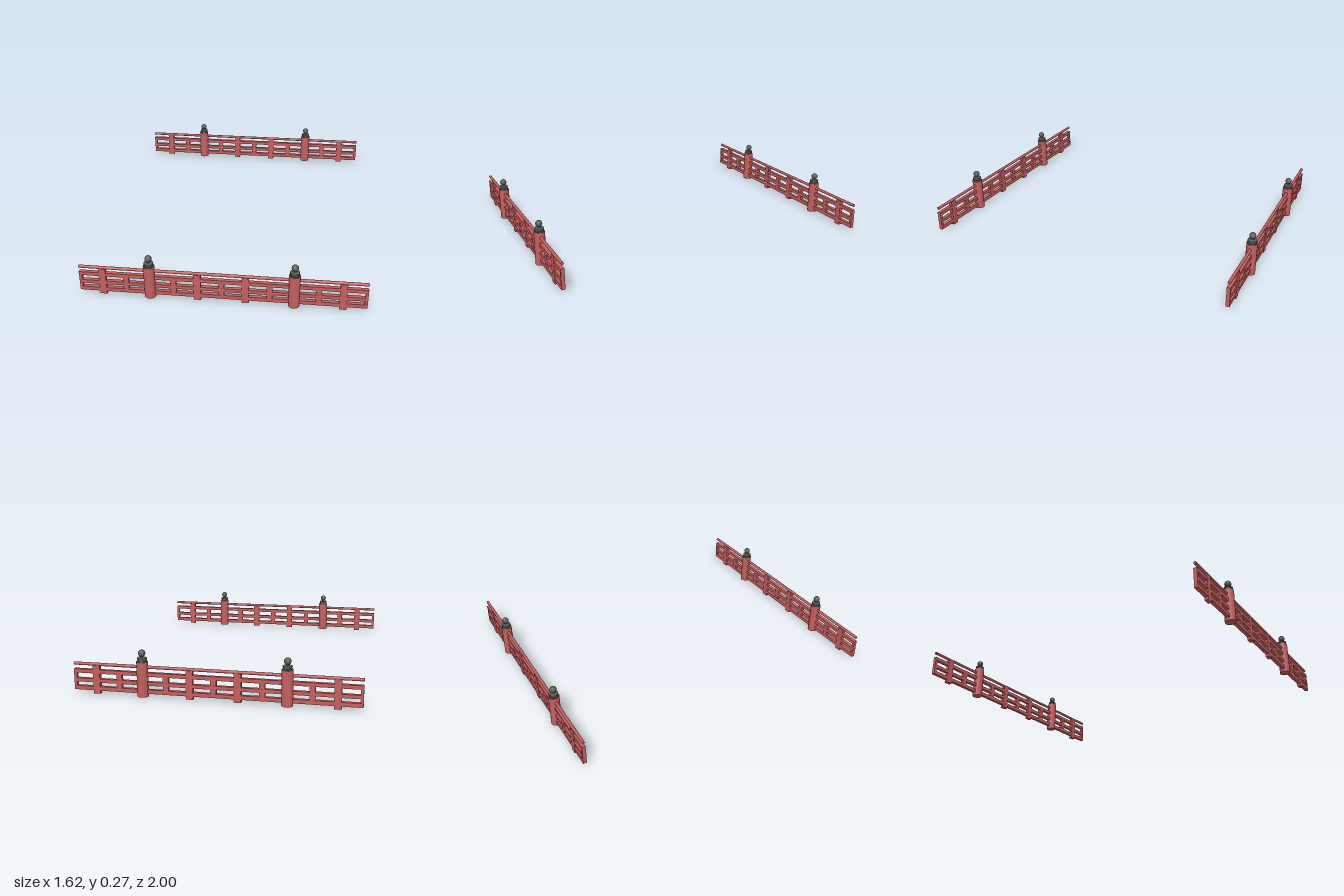
import * as THREE from 'three';

const red = new THREE.MeshStandardMaterial({ color: 0xc4605f });
const grey = new THREE.MeshStandardMaterial({ color: 0x5a5f5d });

const HALF = 0.81; // half length of a railing
const POST_X = 0.406, POST_R = 0.032;

function add(parent, name, geometry, material, x, y, z = 0) {
  const mesh = new THREE.Mesh(geometry, material);
  mesh.name = name;
  mesh.position.set(x, y, z);
  parent.add(mesh);
  return mesh;
}

// Upright box from y0 to y1
function upright(parent, name, x, width, y0, y1, depth) {
  add(parent, name, new THREE.BoxGeometry(width, y1 - y0, depth), red, x, (y0 + y1) / 2);
}

// Round main post with a stepped metal cap and a ball finial
function createPost(x) {
  const post = new THREE.Group();
  post.name = 'mainPost';
  post.position.x = x;
  add(post, 'postShaft', new THREE.CylinderGeometry(POST_R, POST_R, 0.2, 32), red, 0, 0.1);

  const profile = [
    [0, 0.199], [0.028, 0.199], [0.028, 0.206], [0.024, 0.207], [0.024, 0.214],
    [0.027, 0.215], [0.027, 0.221], [0.022, 0.224], [0.011, 0.226], [0.009, 0.233], [0, 0.233],
  ].map(([r, y]) => new THREE.Vector2(r, y));
  // Separate bands keep the steps crisp
  for (let i = 0; i < profile.length - 1; i++) {
    add(post, 'postCap', new THREE.LatheGeometry([profile[i], profile[i + 1]], 32), grey, 0, 0);
  }
  add(post, 'ballFinial', new THREE.SphereGeometry(0.02, 24, 16), grey, 0, 0.247);
  return post;
}

function createRailing() {
  const railing = new THREE.Group();
  railing.name = 'railing';

  // Round handrail
  const handrail = new THREE.CylinderGeometry(0.009, 0.009, HALF * 2, 16);
  handrail.rotateZ(Math.PI / 2);
  add(railing, 'handrail', handrail, red, 0, 0.169);

  // Three square horizontal rails
  for (const [name, y0, y1] of [
    ['lowerRail', 0.018, 0.041], ['middleRail', 0.065, 0.086], ['upperRail', 0.117, 0.139],
  ]) {
    upright(railing, name, 0, HALF * 2, y0, y1, 0.022);
  }

  upright(railing, 'centreStrut', 0, 0.032, 0.02, 0.12, 0.021);
  for (const side of [-1, 1]) {
    // Tall balusters from the ground to the handrail
    for (const x of [0.135, 0.676]) upright(railing, 'baluster', side * x, 0.04, 0, 0.165, 0.023);
    // Short struts between the lower and upper rails
    for (const x of [0.27, 0.541]) upright(railing, 'shortStrut', side * x, 0.032, 0.02, 0.12, 0.021);
    upright(railing, 'endStrut', side * (HALF - 0.008), 0.016, 0.02, 0.12, 0.021);
    railing.add(createPost(side * POST_X));
  }
  return railing;
}

export function createModel() {
  const model = new THREE.Group();
  model.name = 'bridgeRailings';
  for (const side of [-1, 1]) {
    const railing = createRailing();
    railing.name = side > 0 ? 'frontRailing' : 'backRailing';
    railing.position.z = side * (1 - POST_R);
    model.add(railing);
  }
  return model;
}
